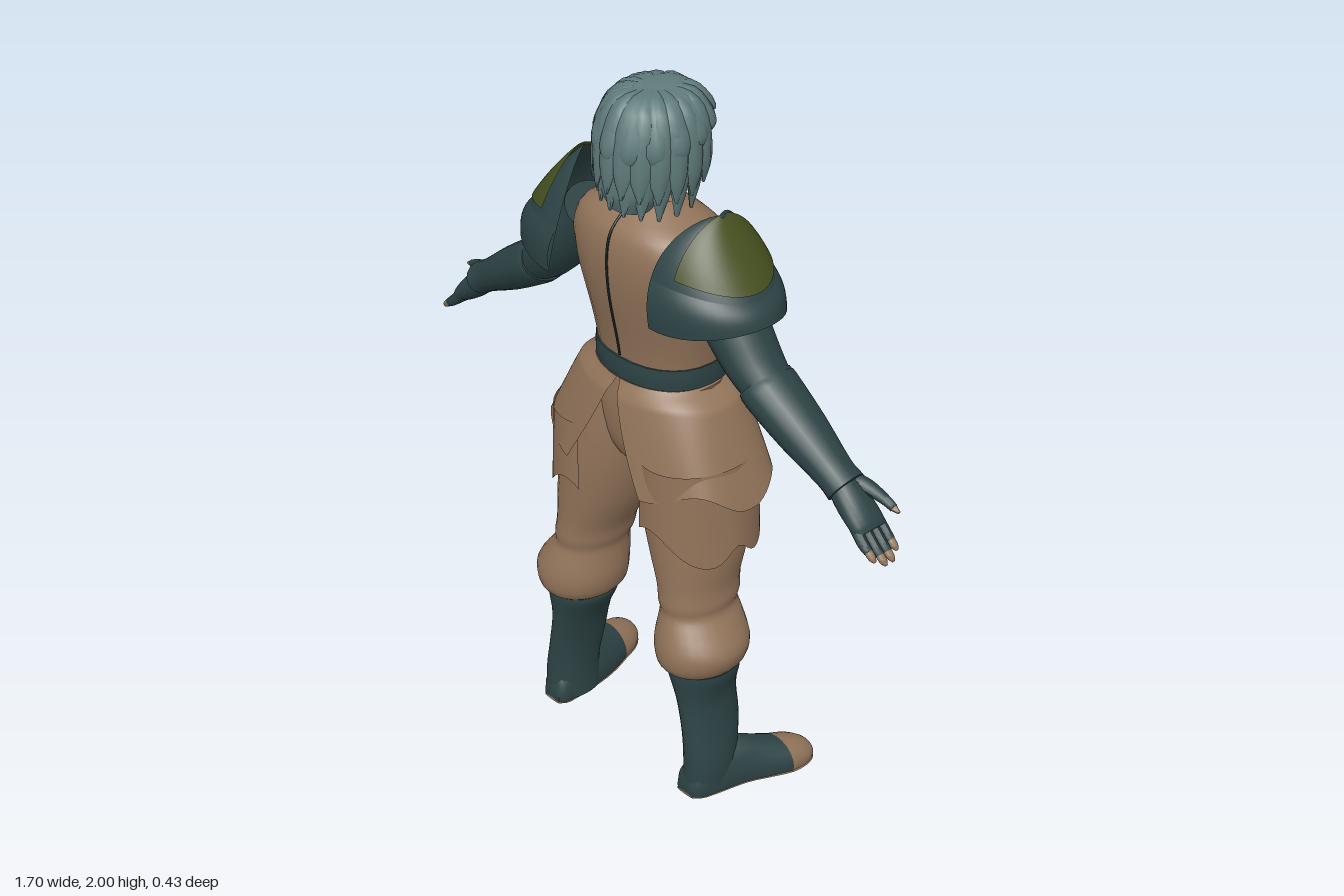
import * as THREE from 'three';
import { toCreasedNormals } from 'three/addons/utils/BufferGeometryUtils.js';

const V = (x, y, z) => new THREE.Vector3(x, y, z);
const { lerp } = THREE.MathUtils;
const UP = V(0, 1, 0), Z = V(0, 0, 1), X = V(1, 0, 0);

function material(name, color, side = THREE.FrontSide) {
  const m = new THREE.MeshStandardMaterial({ color, side });
  m.name = name;
  return m;
}

// Surface f(u, v) over the unit square
function grid(f, nu, nv) {
  const pos = [], idx = [];
  for (let i = 0; i <= nv; i++) for (let j = 0; j <= nu; j++) pos.push(...f(j / nu, i / nv));
  for (let i = 0; i < nv; i++) for (let j = 0; j < nu; j++) {
    const a = i * (nu + 1) + j, b = a + nu + 1;
    idx.push(a, b, a + 1, a + 1, b, b + 1);
  }
  const g = new THREE.BufferGeometry();
  g.setAttribute('position', new THREE.Float32BufferAttribute(pos, 3));
  g.setIndex(idx);
  g.computeVertexNormals();
  return g;
}

// Smooth closed skin over oval rings; row = [x, y, z, radius along ref, radius across ref]
function loft(rows, { dir = null, ref = Z, n = 20, sub = 3, warp = null, power = 1 } = {}) {
  const centres = new THREE.CatmullRomCurve3(rows.map(r => V(r[0], r[1], r[2])), false, 'catmullrom');
  const radii = new THREE.CatmullRomCurve3(rows.map(r => V(r[3], r[4], 0)), false, 'catmullrom');
  const m = (rows.length - 1) * sub, pos = [], idx = [];
  const put = p => { if (warp) warp(p); pos.push(p.x, p.y, p.z); };
  const bend = c => Math.sign(c) * Math.abs(c) ** power;
  for (let i = 0; i <= m; i++) {
    const c = centres.getPoint(i / m), r = radii.getPoint(i / m);
    const t = dir || centres.getTangent(i / m);
    const u = ref.clone().addScaledVector(t, -ref.dot(t)).normalize(), v = t.clone().cross(u);
    for (let j = 0; j < n; j++) {
      const a = j / n * Math.PI * 2;
      put(c.clone().addScaledVector(u, r.x * bend(Math.cos(a))).addScaledVector(v, r.y * bend(Math.sin(a))));
    }
  }
  put(centres.getPoint(0));
  put(centres.getPoint(1));
  const s = (m + 1) * n;
  for (let j = 0; j < n; j++) {
    const k = (j + 1) % n;
    for (let i = 0; i < m; i++) {
      const a = i * n + j, b = i * n + k;
      idx.push(a, b, a + n, b, b + n, a + n);
    }
    idx.push(s, k, j, s + 1, m * n + j, m * n + k);
  }
  const g = new THREE.BufferGeometry();
  g.setAttribute('position', new THREE.Float32BufferAttribute(pos, 3));
  g.setIndex(idx);
  return toCreasedNormals(g, 0.8);
}

export function createModel() {
  const model = new THREE.Group();
  model.name = 'armouredFigure';
  const tan = material('tan cloth', 0x92745a, THREE.DoubleSide);
  const teal = material('dark teal leather', 0x2d4345, THREE.DoubleSide);
  const olive = material('olive plate', 0x46501f, THREE.DoubleSide);
  const hair = material('grey hair', 0x5f7a7b);
  const skin = material('grey skin', 0x587073);
  const dark = material('dark line', 0x1f2b2c);
  const add = (name, geometry, mat) => {
    const mesh = new THREE.Mesh(geometry, mat);
    mesh.name = name;
    model.add(mesh);
    return mesh;
  };
  const upright = { dir: UP, n: 28 };

  // Torso with chest muscles, belt and hips
  add('torso', loft([
    [0, 1.18, -.012, .145, .175], [0, 1.25, -.012, .148, .178], [0, 1.33, -.015, .163, .192],
    [0, 1.42, -.012, .178, .212], [0, 1.5, .005, .172, .23], [0, 1.58, .018, .16, .235],
    [0, 1.64, .03, .132, .2], [0, 1.68, .03, .09, .12], [0, 1.705, .02, .065, .07],
  ], { ...upright, power: .88, warp: p => {
    if (p.z < 0) p.z -= .025 * Math.exp(-(((Math.abs(p.x) - .09) / .06) ** 2) - ((p.y - 1.44) / .06) ** 2);
  } }), tan);
  const seam = [[1.27, .139], [1.33, .149], [1.42, .167], [1.5, .178], [1.58, .179], [1.64, .163], [1.69, .11]];
  add('backSeam', loft(seam.map(([y, z]) => [0, y, z, .003, .004]), { n: 6 }), dark);
  add('belt', loft([[0, 1.205, -.012, .155, .184], [0, 1.235, -.012, .157, .186], [0, 1.265, -.012, .155, .184]],
    { ...upright, power: .9 }), teal);
  add('buckle', new THREE.BoxGeometry(.06, .05, .014), teal).position.set(0, 1.235, -.172);
  add('hips', loft([[0, .9, .01, .07, .05], [0, .98, .005, .13, .15], [0, 1.1, 0, .15, .21], [0, 1.2, -.005, .145, .19]],
    upright), tan);
  add('collar', loft([[0, 1.67, .022, .078, .085], [0, 1.695, .02, .074, .08], [0, 1.715, .018, .062, .066]], upright), tan);

  // Head
  add('neck', loft([[0, 1.66, .025, .06, .065], [0, 1.72, .01, .06, .06], [0, 1.8, 0, .06, .06]], upright), skin);
  add('head', loft([
    [0, 1.692, -.085, .04, .03], [0, 1.72, -.068, .07, .056], [0, 1.77, -.04, .1, .078], [0, 1.83, -.022, .113, .09],
    [0, 1.9, -.005, .118, .098], [0, 1.95, 0, .1, .085], [0, 1.98, .01, .05, .05],
  ], { ...upright, warp: p => {
    if (p.z < -.04) p.z += .014 * Math.exp(-(((Math.abs(p.x) - .036) / .022) ** 2) - ((p.y - 1.845) / .018) ** 2);
  } }), skin);
  add('nose', loft([[0, 1.778, -.13, .012, .014], [0, 1.792, -.138, .018, .017], [0, 1.82, -.133, .014, .011],
    [0, 1.86, -.122, .008, .009]], { dir: UP, n: 10 }), skin);
  add('mouth', new THREE.BoxGeometry(.044, .005, .009), dark).position.set(0, 1.756, -.138);

  // Hair: a cap covered with swept locks
  add('hairCap', loft([
    [0, 1.69, .1, .05, .06], [0, 1.74, .095, .075, .095], [0, 1.8, .075, .095, .11], [0, 1.86, .045, .115, .117],
    [0, 1.92, .02, .122, .115], [0, 1.965, .005, .105, .085], [0, 1.99, .0, .06, .045], [0, 1.996, 0, .02, .02],
  ], upright), hair);
  const locks = [[13, 2.0, 1.73, 1], [11, 1.75, 1.69, .93], [13, 2.75, 1.85, 1]];
  locks.forEach(([count, spread, end, size], layer) => {
    for (let i = 0; i < count; i++) {
      const a = lerp(-spread, spread, i / (count - 1)), front = Math.max(0, Math.abs(a) - 1.5);
      const jit = Math.sin(i * 12.9 + layer * 7.3), sx = Math.sin(a), cz = Math.cos(a);
      const row = (rx, rz, y, w, h) => [sx * rx * size, y, .02 + cz * rz * size, w, h];
      const low = end + .02 * jit + .06 * front;
      add('hairLock', loft([
        row(.02, .03, 1.985, .012, .008), row(.085, .1, 1.972, .026, .013), row(.122, .138, lerp(1.91, 1.935, front / 1.3), .03, .014),
        row(.13, .152, lerp(1.9, low, .55), .027, .014), row(.128 + .012 * jit, .158, low, .004, .004),
      ], { ref: V(cz, 0, -sx), n: 8 }), hair);
    }
  });

  for (const s of [1, -1]) {
    const side = s > 0 ? 'left' : 'right';
    const part = (name, rows, mat, opt) =>
      add(side + name, loft(rows.map(([x, ...r]) => [s * x, ...r]), opt), mat);

    // Eyes and brows
    add(side + 'Eye', new THREE.BoxGeometry(.026, .009, .008), dark).position.set(s * .036, 1.843, -.112);
    part('Brow', [[.012, 1.858, -.126, .007, .006], [.036, 1.866, -.121, .009, .007], [.066, 1.862, -.098, .005, .004]], skin, { n: 8 });

    // Legs and gathered knees
    part('TrouserLeg', [
      [.24, .39, .065, .1, .08], [.24, .42, .068, .128, .11], [.24, .475, .068, .133, .122], [.223, .535, .06, .122, .1],
      [.212, .57, .055, .114, .087], [.208, .6, .05, .122, .092], [.2, .65, .045, .124, .096], [.18, .75, .03, .14, .125],
      [.152, .88, .015, .155, .14], [.118, 1, 0, .158, .13], [.1, 1.1, 0, .145, .11],
    ], tan, upright);

    // Boots
    part('BootShaft', [
      [.283, .01, .075, .088, .058], [.285, .1, .075, .086, .056], [.273, .2, .065, .094, .052], [.255, .3, .065, .095, .06],
      [.245, .375, .065, .104, .088], [.245, .4, .065, .104, .09],
    ], teal, upright);
    const foot = [
      [.278, .02, .162, .03, .03], [.282, .02, .13, .05, .085], [.3, .02, .01, .06, .11], [.322, .02, -.06, .068, .088],
      [.345, .02, -.12, .07, .066], [.355, .02, -.17, .062, .05], [.362, .02, -.205, .042, .03], [.365, .02, -.22, .015, .012],
    ];
    const along = { dir: V(0, 0, -1), ref: X, warp: p => { p.y = Math.max(p.y, .006); } };
    part('BootFoot', foot.slice(0, 5), teal, along);
    part('ToeCap', foot.slice(4), tan, along);
    part('Sole', foot.map(([x, , z, a]) => [x, .004, z, a, .004]), tan, { ...along, warp: null });

    // Arms, gauntlets and hands
    part('UpperArm', [[.22, 1.57, .03, .085, .075], [.3, 1.47, .032, .087, .078], [.38, 1.375, .032, .078, .068], [.45, 1.315, .03, .065, .056]], teal);
    part('Gauntlet', [
      [.418, 1.338, .03, .076, .063], [.44, 1.322, .03, .08, .066], [.55, 1.25, .026, .07, .06],
      [.655, 1.182, .022, .054, .046], [.695, 1.157, .02, .057, .046],
    ], teal);
    part('Palm', [[.67, 1.17, .02, .04, .034], [.72, 1.125, .018, .05, .036], [.765, 1.085, .016, .052, .028], [.782, 1.07, .016, .046, .018]], teal);
    for (let f = 0; f < 4; f++) {
      const z = .054 - .026 * f, reach = f === 0 || f === 3 ? -.014 : 0;
      part('Finger', [[.755, 1.092, z, .013, .015], [.79, 1.055, z, .014, .015], [.825 + reach, 1.025 - reach, z, .012, .012]], teal, { n: 8 });
      part('FingerTip', [[.824 + reach, 1.026 - reach, z, .011, .011], [.838 + reach, 1.014 - reach, z, .01, .01],
        [.848 + reach, 1.006 - reach, z, .004, .004]], tan, { n: 8 });
    }
    part('Thumb', [[.68, 1.17, 0, .02, .022], [.73, 1.157, -.02, .02, .019], [.78, 1.142, -.028, .014, .014], [.81, 1.13, -.03, .011, .011]], teal, { n: 8 });
    part('ThumbTip', [[.808, 1.131, -.03, .011, .01], [.828, 1.125, -.03, .004, .004]], tan, { n: 8 });

    // Shoulder plate: a half dome with an olive inlay
    const plate = (a, t, off) => {
      const c = Math.cos(a), grow = Math.sin(t * Math.PI / 2);
      const inner = .25 - .075 * Math.sin(t * 2.2), outer = .255 + .175 * t + .02 * Math.sin(t * Math.PI);
      const yOut = 1.735 - .235 * t - .015 * Math.sin(t * Math.PI), yIn = 1.735 - .275 * t ** 1.7;
      return [s * (lerp(inner, outer, c) + off), lerp(yIn, yOut, c ** 2) + off, .033 + (.178 * grow + off) * Math.sin(a)];
    };
    add(side + 'ShoulderPlate', grid((u, v) => plate((u - .5) * Math.PI, v, 0), 28, 14), teal);
    add(side + 'ShoulderRim', grid((u, v) => plate((u - .5) * Math.PI, lerp(.7, 1, v), .006 * Math.sin(v * 3)), 28, 6), teal);
    add(side + 'ShoulderInlay', grid((u, v) => plate((u - .5) * 2.5, lerp(.02, .64, v), .005), 24, 10), olive);

    // Split tunic skirt with a ragged hem
    add(side + 'TunicSkirt', grid((u, v) => {
      const gap = lerp(.03, .42, v), a = lerp(gap, Math.PI - gap, u);
      const hem = lerp(.92, .885, u) + .055 * Math.sin(u * Math.PI * 2) ** 2;
      const w = Math.min(1, v * 8), rx = lerp(.18, lerp(.215, .345, v ** .85), w), rz = lerp(.145, lerp(.155, .22, v ** .8), w);
      return [s * rx * Math.sin(a), lerp(1.205, hem, v), rz * Math.sign(Math.cos(a)) * Math.abs(Math.cos(a)) ** .85];
    }, 36, 16), tan);

    // Scalloped thigh guard under the skirt
    add(side + 'ThighGuard', grid((u, v) => {
      const a = lerp(-.3, Math.PI + .3, u);
      const hem = .735 + .1 * Math.abs(Math.cos(a)) ** 5 + .05 * Math.exp(-(((a - Math.PI / 2) / .25) ** 2));
      return [s * (.165 + lerp(.14, .158, v) * Math.sin(a)), lerp(1.02, hem, v), .018 + .172 * Math.cos(a)];
    }, 36, 8), tan);
  }
  return model;
}
